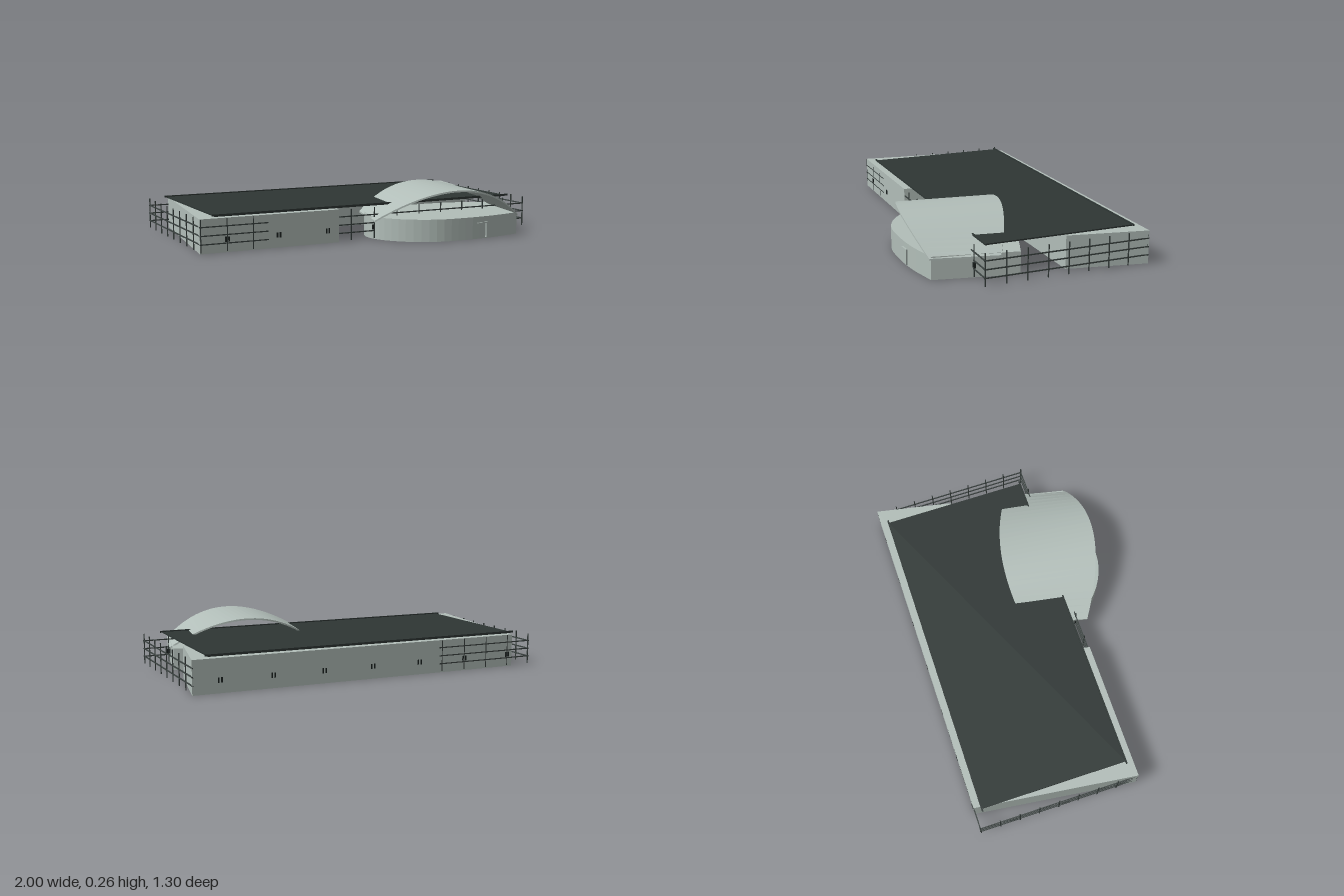
import * as THREE from 'three';

const wall = new THREE.MeshStandardMaterial({ name: 'paleWall', color: 0xb2beb9 });
const roofDark = new THREE.MeshStandardMaterial({ name: 'darkRoof', color: 0x2e3634 });
const metal = new THREE.MeshStandardMaterial({ name: 'fenceMetal', color: 0x3c4442 });
const black = new THREE.MeshStandardMaterial({ name: 'blackFitting', color: 0x1c2221 });

function mesh(name, geometry, material, parent) {
  const m = new THREE.Mesh(geometry, material);
  m.name = name;
  parent.add(m);
  return m;
}

// Upright prism from a plan of [x, z] points
function prism(plan, y0, y1) {
  const shape = new THREE.Shape(plan.map(([x, z]) => new THREE.Vector2(x, -z)));
  const g = new THREE.ExtrudeGeometry(shape, { depth: y1 - y0, bevelEnabled: false });
  g.rotateX(-Math.PI / 2);
  g.translate(0, y0, 0);
  return g;
}

// Horizontal bar between two plan points
function bar(name, a, b, y, height, width, material, parent, extra = 0) {
  const dx = b[0] - a[0], dz = b[1] - a[1];
  const m = mesh(name, new THREE.BoxGeometry(Math.hypot(dx, dz) + extra, height, width), material, parent);
  m.position.set((a[0] + b[0]) / 2, y, (a[1] + b[1]) / 2);
  m.rotation.y = -Math.atan2(dz, dx);
  return m;
}

// Barrel vault: skewed arch whose open ends bulge outwards in plan
function vaultGeometry(segments = 28, thick = 0.009) {
  const mix = THREE.MathUtils.lerp;
  const ring = (i) => {
    const u = i / segments, t = 2 * u - 1, k = 1 - t * t;
    const y = 0.107 + 0.153 * k;
    const fx = mix(-0.09, 0.68, u), fz = mix(0.385, 0.63, u) + 0.105 * k;
    const bx = mix(0.04, 0.8, u), bz = mix(0.06, 0.31, u) - 0.085 * k;
    return [[fx, y, fz], [bx, y, bz], [bx, y - thick, bz], [fx, y - thick, fz]];
  };
  const pos = [];
  const quad = (a, b, c, d) => pos.push(...a, ...b, ...c, ...a, ...c, ...d);
  for (let i = 0; i < segments; i++) {
    const p = ring(i), q = ring(i + 1);
    for (let j = 0; j < 4; j++) {
      const n = (j + 1) % 4;
      quad(p[j], q[j], q[n], p[n]);
    }
  }
  const s = ring(0), e = ring(segments);
  quad(s[0], s[1], s[2], s[3]);
  quad(e[3], e[2], e[1], e[0]);
  const g = new THREE.BufferGeometry();
  g.setAttribute('position', new THREE.Float32BufferAttribute(pos, 3));
  g.computeVertexNormals();
  return g;
}

// One side of the fence: rails, posts and optional paired latches
function fenceSide(name, a, b, bays, latches, parent) {
  const side = new THREE.Group();
  side.name = name;
  parent.add(side);
  for (const y of [0.045, 0.087, 0.13]) bar('fenceRail', a, b, y, 0.006, 0.005, metal, side, 0.01);
  const angle = -Math.atan2(b[1] - a[1], b[0] - a[0]);
  for (let i = 0; i <= bays; i++) {
    const u = i / bays;
    const post = mesh('fencePost', new THREE.BoxGeometry(0.005, 0.163, 0.005), metal, side);
    post.position.set(a[0] + (b[0] - a[0]) * u, 0.0865, a[1] + (b[1] - a[1]) * u);
    post.rotation.y = angle;
    if (!latches || i % 2 === 0) continue;
    for (const s of [-1, 1]) {
      const latch = mesh('fenceLatch', new THREE.BoxGeometry(0.008, 0.026, 0.009), black, side);
      latch.position.set(post.position.x + s * 0.008, 0.064, post.position.z + s * 0.001);
      latch.rotation.y = angle;
    }
  }
}

export function createModel() {
  const model = new THREE.Group();
  model.name = 'hallWithVaultedEntrance';

  // Main hall, with a front corner left open
  mesh('mainHall', prism([
    [-1, 0.213], [-0.26, 0.308], [-0.13, -0.13], [0.865, -0.012], [0.998, -0.41], [-0.78, -0.632],
  ], 0, 0.17), wall, model);

  // Dark roof sheet with edge bars
  const roof = [[-0.905, 0.187], [0.8, 0.4], [0.9, -0.38], [-0.802, -0.595]];
  mesh('roofSheet', prism(roof, 0.171, 0.178), roofDark, model);
  bar('frontRoofBar', roof[0], roof[1], 0.179, 0.009, 0.008, roofDark, model, 0.03);
  bar('backRoofBar', roof[3], roof[2], 0.179, 0.009, 0.008, roofDark, model, 0.03);

  // Rounded entrance block with one square end
  const curve = new THREE.CatmullRomCurve3([
    [0.82, 0.215], [0.64, 0.125], [0.4, 0.072], [0.18, 0.07], [0.04, 0.125], [-0.045, 0.24],
    [-0.045, 0.36], [0.03, 0.49], [0.16, 0.585], [0.32, 0.622], [0.5, 0.635], [0.68, 0.622],
  ].map(([x, z]) => new THREE.Vector3(x, 0, z)));
  mesh('entranceBlock', prism(curve.getPoints(44).map((p) => [p.x, p.z]), 0, 0.116), wall, model);

  // Vault over the entrance
  mesh('vaultRoof', vaultGeometry(), wall, model);

  // Entrance door frame and open leaf
  const door = new THREE.Group();
  door.name = 'entranceDoor';
  model.add(door);
  bar('doorLintel', [0.395, 0.633], [0.453, 0.637], 0.084, 0.005, 0.01, wall, door);
  const leaf = mesh('doorLeaf', new THREE.BoxGeometry(0.006, 0.08, 0.024), wall, door);
  leaf.position.set(0.45, 0.046, 0.63);

  // Fence around the plot
  const fence = new THREE.Group();
  fence.name = 'fence';
  model.add(fence);
  const fl = [-0.995, 0.212], fr = [0.888, 0.449], br = [0.994, -0.407], bl = [-0.885, -0.643];
  fenceSide('frontFence', fl, fr, 14, true, fence);
  fenceSide('backFence', br, bl, 14, true, fence);
  fenceSide('leftFence', fr, br, 8, false, fence);
  fenceSide('rightFence', bl, fl, 8, false, fence);

  return model;
}
